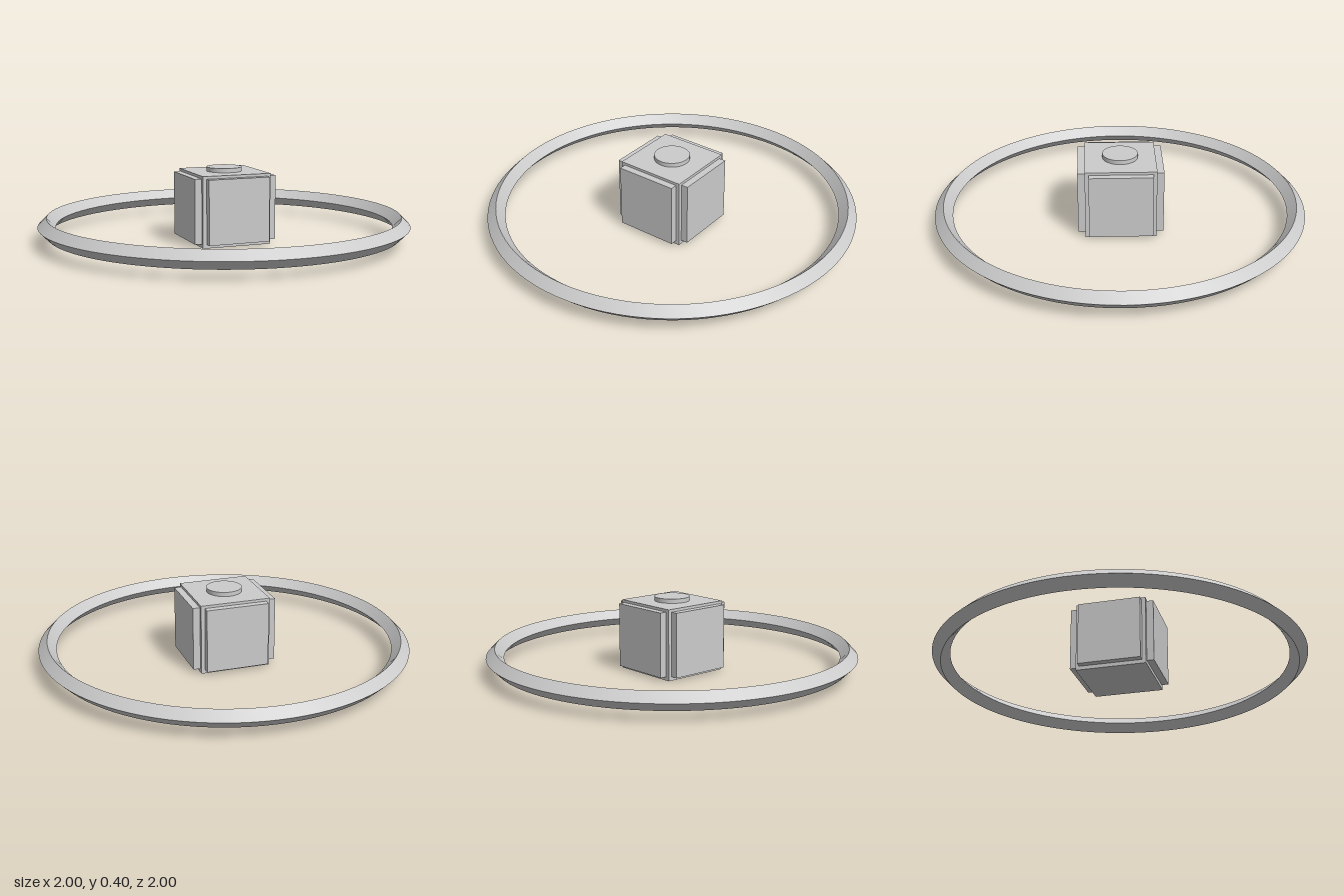
import * as THREE from 'three';
import { toCreasedNormals } from 'three/addons/utils/BufferGeometryUtils.js';

export function createModel() {
  const model = new THREE.Group();
  const material = new THREE.MeshStandardMaterial({ color: 0xcccccc });

  const add = (name, geometry, x, y, z) => {
    const mesh = new THREE.Mesh(geometry, material);
    mesh.name = name;
    mesh.position.set(x, y, z);
    model.add(mesh);
    return mesh;
  };

  // Central cube
  const core = 0.38;
  add('core', new THREE.BoxGeometry(core, core, core), 0, core / 2, 0);

  // One raised panel on each of the four upright sides
  const names = ['frontPanel', 'leftPanel', 'backPanel', 'rightPanel'];
  const panel = new THREE.BoxGeometry(0.34, 0.345, 0.04);
  names.forEach((name, i) => {
    const angle = (i * Math.PI) / 2;
    const offset = core / 2 + 0.018;
    const mesh = add(name, panel, Math.sin(angle) * offset, 0.193, Math.cos(angle) * offset);
    mesh.rotation.y = angle;
  });

  // Round cap on top
  const cap = toCreasedNormals(new THREE.CylinderGeometry(0.095, 0.095, 0.03, 48), 0.5);
  add('topCap', cap, 0, core + 0.008, 0);

  // Floating ring with a diamond cross-section
  const radius = 0.952, half = 0.048;
  const profile = [[0, -1], [1, 0], [0, 1], [-1, 0], [0, -1]]
    .map(([r, y]) => new THREE.Vector2(radius + r * half, y * half));
  add('ring', toCreasedNormals(new THREE.LatheGeometry(profile, 96), 0.5), 0, 0.098, 0);

  return model;
}
